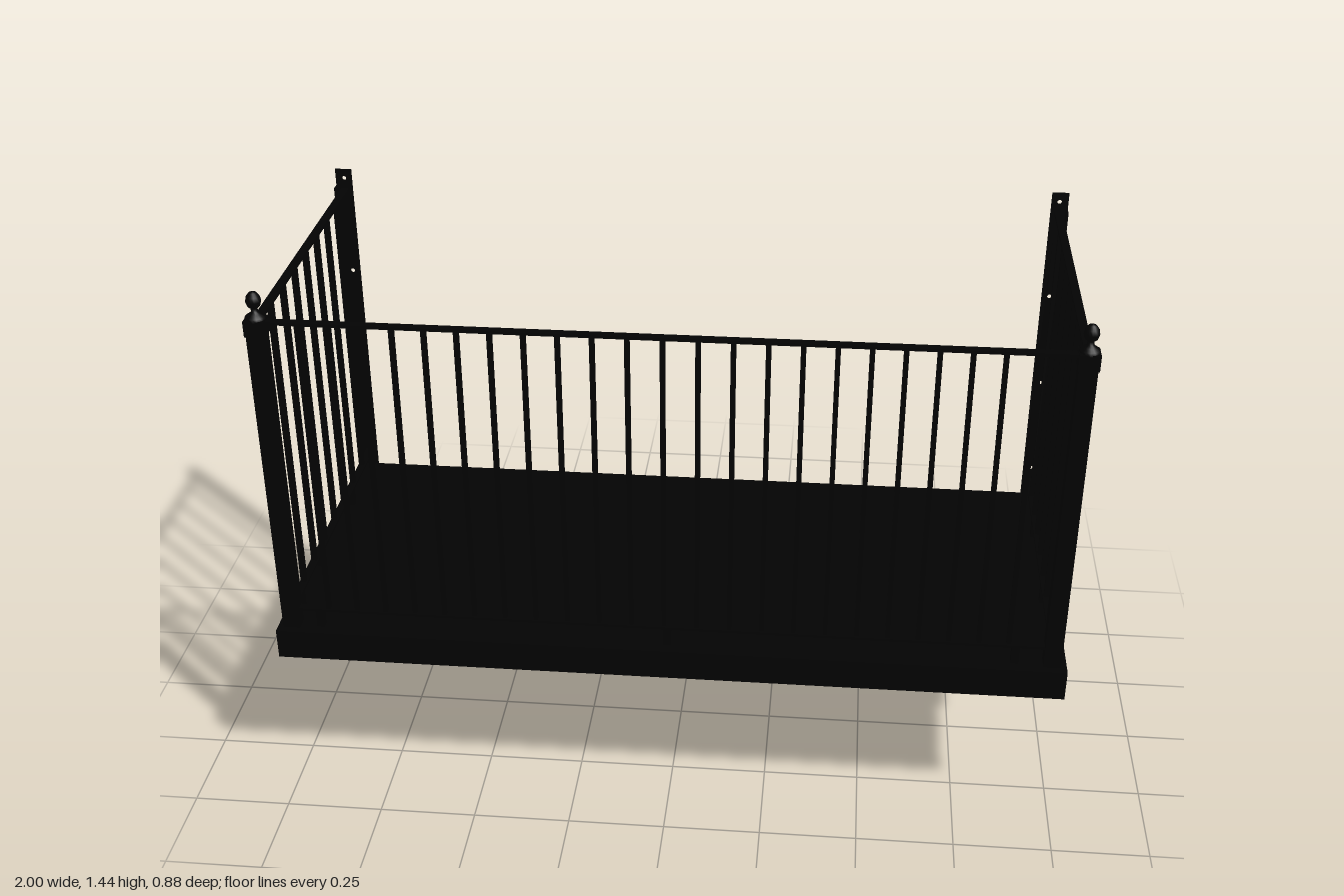
import * as THREE from 'three';

const black = new THREE.MeshStandardMaterial({ color: 0x030303 });

export function createModel() {
  const model = new THREE.Group();
  model.name = 'balcony';

  const add = (name, geometry, x = 0, y = 0, z = 0) => {
    const mesh = new THREE.Mesh(geometry, black);
    mesh.name = name;
    mesh.position.set(x, y, z);
    model.add(mesh);
    return mesh;
  };
  // box given by its low and high corners
  const block = (name, x0, x1, y0, y1, z0, z1) =>
    add(name, new THREE.BoxGeometry(Math.abs(x1 - x0), y1 - y0, z1 - z0),
      (x0 + x1) / 2, (y0 + y1) / 2, (z0 + z1) / 2);
  // upright wall plate with round bolt holes
  const plate = (name, x0, x1, y0, y1, z, depth, radius, holes) => {
    const [a, b] = [Math.min(x0, x1), Math.max(x0, x1)];
    const shape = new THREE.Shape([[a, y0], [b, y0], [b, y1], [a, y1]].map(p => new THREE.Vector2(...p)));
    for (const [hx, hy] of holes) {
      shape.holes.push(new THREE.Path().absarc(hx, hy, radius, 0, Math.PI * 2, true));
    }
    return add(name, new THREE.ExtrudeGeometry(shape, { depth, bevelEnabled: false, curveSegments: 8 }), 0, 0, z);
  };
  // side profile (u = -z, v = y) extruded across x, centred on x
  const sidePiece = (name, shape, x, depth) => {
    const geometry = new THREE.ExtrudeGeometry(shape, { depth, bevelEnabled: false, curveSegments: 8 });
    geometry.rotateY(Math.PI / 2);
    return add(name, geometry, x - depth / 2);
  };

  // sheet floor with a folded-down rim, open below, and the wall plate it hangs from
  block('floor', -0.994, 0.994, 0.506, 0.515, -0.435, 0.44);
  block('frontRim', -0.994, 0.994, 0.435, 0.506, 0.432, 0.44);
  plate('wallPlate', -0.994, 0.994, 0.37, 0.515, -0.44, 0.008, 0.009,
    [-0.846, -0.414, 0.007, 0.469, 0.846].map(x => [x, 0.404]));

  // bracket side: arm and leg with a rounded inner corner
  const bracket = new THREE.Shape();
  bracket.moveTo(-0.143, 0.437);
  bracket.lineTo(-0.143, 0.42);
  bracket.quadraticCurveTo(-0.143, 0.398, -0.121, 0.398);
  bracket.lineTo(0.37, 0.398);
  bracket.quadraticCurveTo(0.395, 0.398, 0.395, 0.373);
  bracket.lineTo(0.395, 0);
  bracket.lineTo(0.44, 0);
  bracket.lineTo(0.44, 0.437);
  bracket.closePath();

  // S scroll: half a spiral, turned half a circle for the other end
  const half = [[0.003, -0.06], [0.012, -0.1], [0.03, -0.13], [0.056, -0.147], [0.085, -0.152], [0.115, -0.145],
    [0.141, -0.125], [0.155, -0.095], [0.154, -0.062], [0.136, -0.037], [0.108, -0.028], [0.078, -0.036],
    [0.062, -0.06], [0.065, -0.086], [0.083, -0.099], [0.101, -0.09], [0.104, -0.073], [0.093, -0.066]];
  const centre = new THREE.Vector2(0.2305, 0.232);
  const path = new THREE.SplineCurve([
    ...half.map(([u, v]) => new THREE.Vector2(-u, -v)).reverse(),
    new THREE.Vector2(0, 0),
    ...half.map(([u, v]) => new THREE.Vector2(u, v)),
  ]);
  const left = [], right = [];
  for (let i = 0; i <= 140; i++) {
    const p = path.getPointAt(i / 140).add(centre);
    const t = path.getTangentAt(i / 140);
    const n = new THREE.Vector2(-t.y, t.x).multiplyScalar(0.009);
    left.push(p.clone().add(n));
    right.push(p.clone().sub(n));
  }
  const scroll = new THREE.Shape([...left, ...right.reverse()]);

  // turned cap and ball on the front posts
  const finial = [[0, 0], [0.021, 0], [0.024, 0.014], [0.024, 0.024], [0.015, 0.03], [0.008, 0.036],
    [0.008, 0.044], [0.015, 0.05], [0.0185, 0.062], [0.016, 0.074], [0.009, 0.083], [0, 0.086]]
    .map(p => new THREE.Vector2(...p));

  for (const s of [1, -1]) {
    const side = s > 0 ? 'left' : 'right';

    block(side + 'Rim', s * 0.986, s * 0.994, 0.435, 0.506, -0.435, 0.432);

    // supporting bracket
    sidePiece(side + 'BracketSide', bracket, s * 0.989, 0.01);
    plate(side + 'BracketLeg', s * 0.917, s * 0.99, 0, 0.437, -0.44, 0.01, 0.009,
      [[s * 0.953, 0.285], [s * 0.953, 0.04]]);
    block(side + 'BracketArm', s * 0.917, s * 0.99, 0.425, 0.436, -0.435, 0.13);
    sidePiece(side + 'Scroll', scroll, s * 0.99, 0.02);

    // corner post with finial
    block(side + 'FrontPost', s * 0.936, s * 0.979, 0.515, 1.36, 0.382, 0.422);
    block(side + 'PostCollar', s * 0.933, s * 0.982, 1.33, 1.37, 0.379, 0.425);
    add(side + 'Finial', new THREE.LatheGeometry(finial, 16), s * 0.957, 1.352, 0.402);

    // angle-iron post against the wall
    plate(side + 'WallPost', s * 0.936, s * 0.98, 0.515, 1.425, -0.44, 0.004, 0.006,
      [0.6, 0.87, 1.13, 1.4].map(y => [s * 0.957, y]));
    block(side + 'WallPostFlange', s * 0.975, s * 0.98, 0.515, 1.38, -0.438, -0.41);

    // side railing, its rails spreading slightly towards the wall
    for (const [y, tilt] of [[0.564, -0.004], [1.365, 0.006]]) {
      block(side + 'SideRail', s * 0.947, s * 0.967, y - 0.004, y + 0.004, -0.436, 0.385).rotation.x = tilt;
    }
    for (let i = 0; i < 7; i++) {
      const z = 0.285 - i * 0.1037;
      block(side + 'SideBaluster', s * 0.95, s * 0.964, 0.564, 1.362, z - 0.007, z + 0.007);
    }
    for (const z of [0.325, 0.123, -0.203]) {
      block(side + 'SideRailFoot', s * 0.947, s * 0.967, 0.51, 0.564, z - 0.01, z + 0.01);
    }
  }

  // front railing, balusters a little wider apart near the middle
  for (const y of [0.565, 1.362]) {
    block('frontRail', -0.94, 0.94, y - 0.004, y + 0.004, 0.392, 0.412);
  }
  for (let i = -11; i <= 11; i++) {
    const x = -0.006 + 0.0826 * i - 0.00045 * i * Math.abs(i);
    block('frontBaluster', x - 0.006, x + 0.006, 0.565, 1.362, 0.395, 0.409);
  }
  for (const x of [-0.884, 0.002, 0.866]) {
    block('frontRailFoot', x - 0.01, x + 0.01, 0.51, 0.565, 0.392, 0.412);
  }

  return model;
}
